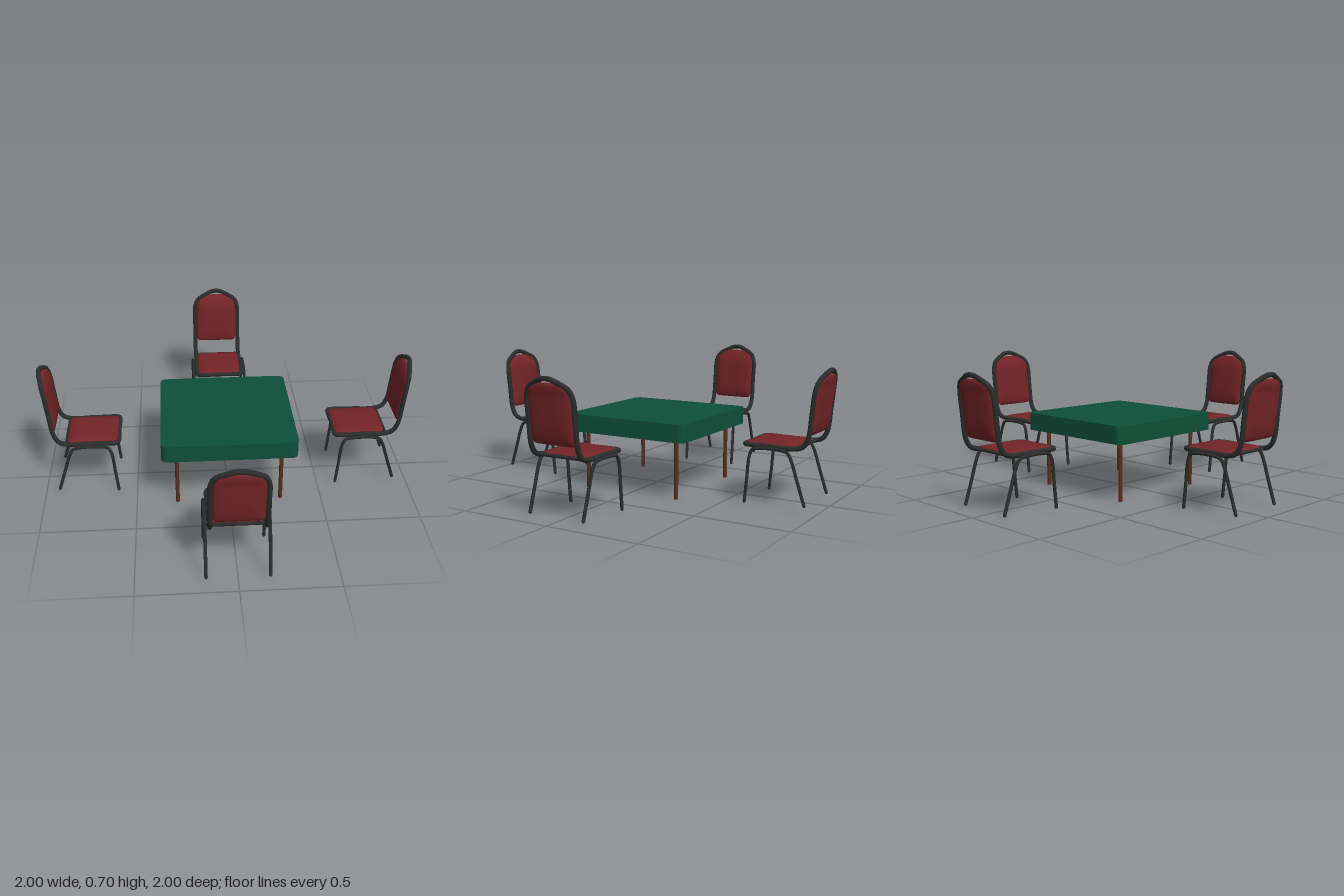
import * as THREE from 'three';
import { mergeVertices } from 'three/addons/utils/BufferGeometryUtils.js';

const mat = (name, color) => {
  const m = new THREE.MeshStandardMaterial({ color });
  m.name = name;
  return m;
};

function add(parent, name, geometry, material, x = 0, y = 0, z = 0) {
  const mesh = new THREE.Mesh(geometry, material);
  mesh.name = name;
  mesh.position.set(x, y, z);
  parent.add(mesh);
  return mesh;
}

// Rounded square, used for the cloth and its hollow
function roundedSquare(Type, h, r) {
  const s = new Type();
  const corners = [[1, 1, 0], [-1, 1, 1], [-1, -1, 2], [1, -1, 3]];
  for (const [sx, sy, q] of corners)
    s.absarc(sx * (h - r), sy * (h - r), r, q * Math.PI / 2, (q + 1) * Math.PI / 2, false);
  s.closePath();
  return s;
}

// Flat-lying extrusion, from y = 0 up to the given height
function slab(shape, height) {
  const g = new THREE.ExtrudeGeometry(shape, { depth: height, bevelEnabled: false, curveSegments: 6 });
  return g.rotateX(-Math.PI / 2);
}

// Puffy pad: a sphere squared off by powers; front and rear halves may differ
function pad(halfWidth, halfThick, front, rear) {
  const g = new THREE.SphereGeometry(1, 48, 20);
  const p = g.attributes.position;
  const pow = (v, e) => Math.abs(v) < 1e-6 ? 0 : Math.sign(v) * Math.abs(v) ** e;
  for (let i = 0; i < p.count; i++) {
    const x = p.getX(i), y = p.getY(i), z = p.getZ(i);
    const r = Math.hypot(x, z);
    const c = r > 1e-6 ? x / r : 0, s = r > 1e-6 ? z / r : 0;
    const end = s > 0 ? front : rear;
    const spread = pow(r, 0.6);
    p.setXYZ(i, halfWidth * spread * pow(c, end.power), halfThick * y, end.length * spread * pow(s, end.power));
  }
  g.deleteAttribute('uv');
  g.deleteAttribute('normal');
  return mergeVertices(g, 1e-5);
}

function tube(points, radius, closed, segments) {
  const curve = new THREE.CatmullRomCurve3(points.map(q => new THREE.Vector3(...q)), closed, 'centripetal');
  return new THREE.TubeGeometry(curve, segments, radius, 8, closed);
}

function createChair(frameMat, cushionMat) {
  const chair = new THREE.Group();
  chair.name = 'chair';

  // One closed tube: seat front, sides, backrest and arched top
  const half = [
    [0.125, 0.30, 0.59], [0.135, 0.30, 0.60], [0.135, 0.30, 0.72], [0.135, 0.30, 0.86],
    [0.135, 0.316, 0.903], [0.135, 0.36, 0.928], [0.134, 0.48, 0.943], [0.131, 0.595, 0.956],
    [0.112, 0.636, 0.966], [0.07, 0.661, 0.976], [0.03, 0.679, 0.985],
  ];
  const mirrored = half.map(([x, y, z]) => [-x, y, z]).reverse();
  const loop = [[0, 0.30, 0.59], ...half, [0, 0.683, 0.987], ...mirrored];
  add(chair, 'chairFrame', tube(loop, 0.0125, true, 160), frameMat);
  const bar = new THREE.CylinderGeometry(0.009, 0.009, 0.27, 8).rotateZ(Math.PI / 2);
  add(chair, 'rearSeatBar', bar, frameMat, 0, 0.30, 0.866);

  // Seat cushion
  const seatEnd = { length: 0.135, power: 0.15 };
  add(chair, 'seatCushion', pad(0.127, 0.016, seatEnd, seatEnd), cushionMat, 0, 0.307, 0.726);

  // Back cushion, leaning with the frame and bending back at the top
  const back = pad(0.123, 0.022, { length: 0.113, power: 0.55 }, { length: 0.183, power: 0.15 });
  back.rotateX(-Math.PI / 2).translate(0, 0.55, 0);
  const p = back.attributes.position;
  for (let i = 0; i < p.count; i++) {
    const y = p.getY(i);
    p.setZ(i, p.getZ(i) + 0.928 + (y - 0.36) * 0.121 + Math.max(0, y - 0.6) * 0.2);
  }
  back.computeVertexNormals();
  add(chair, 'backCushion', back, cushionMat);
  chair.getObjectByName('seatCushion').geometry.computeVertexNormals();

  // Bent leg tubes, one on each side
  for (const side of [-1, 1]) {
    const x = side * 0.156;
    const path = [
      [x, 0.026, 0.924], [x, 0.14, 0.886], [x, 0.25, 0.849], [x, 0.28, 0.83], [x, 0.29, 0.79],
      [x, 0.29, 0.68], [x, 0.282, 0.645], [x, 0.25, 0.628], [x, 0.12, 0.614], [x, 0.008, 0.603],
    ];
    add(chair, 'legTube', tube(path, 0.0085, false, 60), frameMat);
    for (const foot of [path[0], path[path.length - 1]])
      add(chair, 'foot', new THREE.SphereGeometry(0.0085, 8, 6), frameMat, ...foot);
  }
  return chair;
}

function createTable(clothMat, woodMat) {
  const table = new THREE.Group();
  table.name = 'table';

  // Cloth cover: top and hollow skirt
  add(table, 'clothTop', slab(roundedSquare(THREE.Shape, 0.358, 0.035), 0.01), clothMat, 0, 0.396, 0);
  const skirt = roundedSquare(THREE.Shape, 0.358, 0.035);
  skirt.holes.push(roundedSquare(THREE.Path, 0.35, 0.027));
  add(table, 'clothSkirt', slab(skirt, 0.084), clothMat, 0, 0.312, 0);

  // Wooden board with rails under its edge
  add(table, 'board', new THREE.BoxGeometry(0.67, 0.06, 0.67), woodMat, 0, 0.365, 0);
  for (let i = 0; i < 4; i++) {
    const a = i * Math.PI / 2;
    const rail = new THREE.BoxGeometry(0.66, 0.016, 0.014).translate(0, 0.328, 0.323).rotateY(a);
    add(table, 'rail', rail, woodMat);
  }

  for (const sx of [-1, 1])
    for (const sz of [-1, 1])
      add(table, 'tableLeg', new THREE.CylinderGeometry(0.011, 0.011, 0.34, 10), woodMat, sx * 0.279, 0.17, sz * 0.275);
  return table;
}

export function createModel() {
  const model = new THREE.Group();
  model.name = 'tableWithChairs';
  const frameMat = mat('darkMetal', 0x2b2d2d);
  const cushionMat = mat('redFabric', 0x732426);
  const clothMat = mat('greenCloth', 0x0e5039);
  const woodMat = mat('brownWood', 0x55301f);

  model.add(createTable(clothMat, woodMat));

  // Four chairs facing the table
  for (let i = 0; i < 4; i++) {
    const chair = createChair(frameMat, cushionMat);
    chair.rotation.y = i * Math.PI / 2;
    model.add(chair);
  }
  return model;
}
